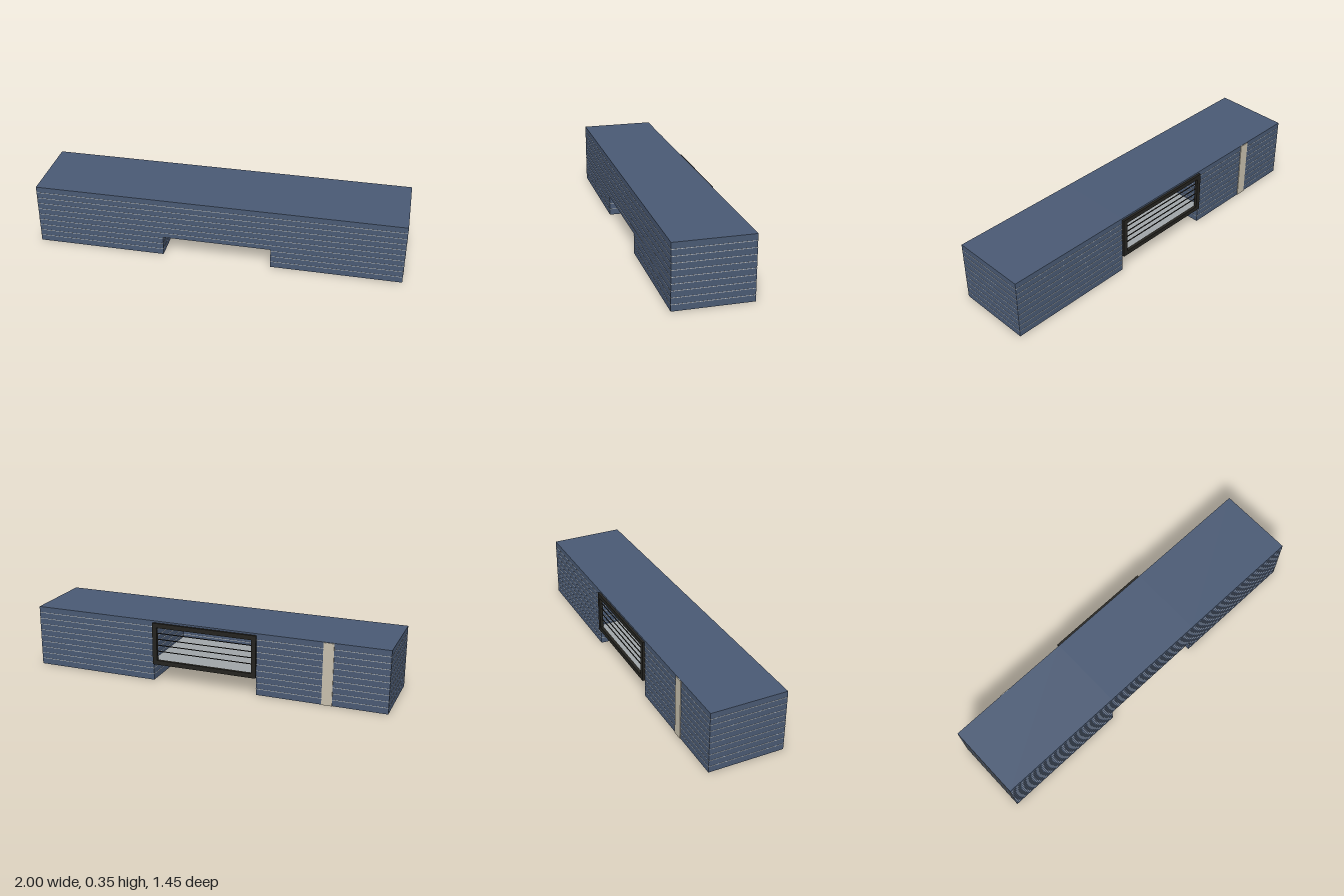
import * as THREE from 'three';

const L = 2.078, W = 0.43, H = 0.355;   // overall block
const GAP = 0.307;                      // half width of the gateway
const FLOORS = 10, STEP = H / FLOORS;
const DECK = 0.115;                     // underside of the bridging part
const WALL = 0.01;

export function createModel() {
  const mat = (name, color) => {
    const m = new THREE.MeshStandardMaterial({ color });
    m.name = name;
    return m;
  };
  const blue = mat('facade blue', 0x4a5a74);
  const pale = mat('pale floor line', 0xb4b9bc);
  const grey = mat('concrete grey', 0xa0a5a9);
  const black = mat('frame black', 0x24231f);
  const beige = mat('beige strip', 0xc8c0ae);

  const building = new THREE.Group();
  building.name = 'building';

  // Box given by its limits on each axis
  const box = (name, m, x0, x1, y0, y1, z0, z1, parent = building) => {
    const mesh = new THREE.Mesh(new THREE.BoxGeometry(x1 - x0, y1 - y0, z1 - z0), m);
    mesh.position.set((x0 + x1) / 2, (y0 + y1) / 2, (z0 + z1) / 2);
    mesh.name = name;
    parent.add(mesh);
  };

  const line = 0.0017, proud = 0.001;

  // Two full-height wings, ringed by a thin line at each floor
  for (const side of [-1, 1]) {
    const x0 = side < 0 ? -L / 2 : GAP;
    const x1 = side < 0 ? -GAP : L / 2;
    box(side < 0 ? 'rightWing' : 'leftWing', blue, x0, x1, 0, H, -W / 2, W / 2);
    for (let k = 1; k < FLOORS; k++) {
      box('wingFloorLine', pale, x0 - proud, x1 + proud,
        k * STEP - line, k * STEP + line, -W / 2 - proud, W / 2 + proud);
    }
  }

  // Hollow bridge between the wings: front wall, roof, ceiling and deck
  box('bridgeFrontWall', blue, -GAP, GAP, DECK, H, W / 2 - WALL, W / 2);
  box('bridgeRoof', blue, -GAP, GAP, H - WALL, H, -W / 2, W / 2 - WALL);
  box('bridgeCeiling', grey, -GAP, GAP, H - WALL - 0.004, H - WALL, -W / 2, W / 2 - WALL);
  box('bridgeDeck', grey, -GAP, GAP, DECK, DECK + WALL, -W / 2, W / 2 - WALL);
  box('bridgeSoffit', grey, -GAP, GAP, DECK - 0.001, DECK, -W / 2, W / 2);
  for (let k = 4; k < FLOORS; k++) {
    box('bridgeFloorLine', pale, -GAP, GAP, k * STEP - line, k * STEP + line,
      W / 2 - WALL - proud, W / 2 + proud);
  }

  // Dark window frame on the back of the bridge, with horizontal bars
  const frame = new THREE.Group();
  frame.name = 'windowFrame';
  building.add(frame);
  const b = 0.026, y0 = 0.1, y1 = 0.345;
  const zOut = -W / 2 - 0.014, zIn = -W / 2 + 0.004;
  const outline = new THREE.Shape([
    new THREE.Vector2(-GAP, y0), new THREE.Vector2(GAP, y0),
    new THREE.Vector2(GAP, y1), new THREE.Vector2(-GAP, y1),
  ]);
  outline.holes.push(new THREE.Path([
    new THREE.Vector2(-GAP + b, y0 + b), new THREE.Vector2(-GAP + b, y1 - b),
    new THREE.Vector2(GAP - b, y1 - b), new THREE.Vector2(GAP - b, y0 + b),
  ]));
  const surround = new THREE.Mesh(
    new THREE.ExtrudeGeometry(outline, { depth: zIn - zOut, bevelEnabled: false }), black);
  surround.position.z = zOut;
  surround.name = 'frameSurround';
  frame.add(surround);
  for (let k = 5; k <= 8; k++) {
    box('frameBar', black, -GAP + b, GAP - b, k * STEP - 0.002, k * STEP + 0.002,
      -W / 2 - 0.003, -W / 2 + 0.002, frame);
  }

  // Pale vertical strip on the back of the right wing
  box('verticalStrip', beige, -0.736, -0.678, 0, H - 0.002, -W / 2 - 0.004, -W / 2);

  // The block stands at an angle
  building.rotation.y = -0.5477;
  const model = new THREE.Group();
  model.name = 'model';
  model.add(building);
  return model;
}
